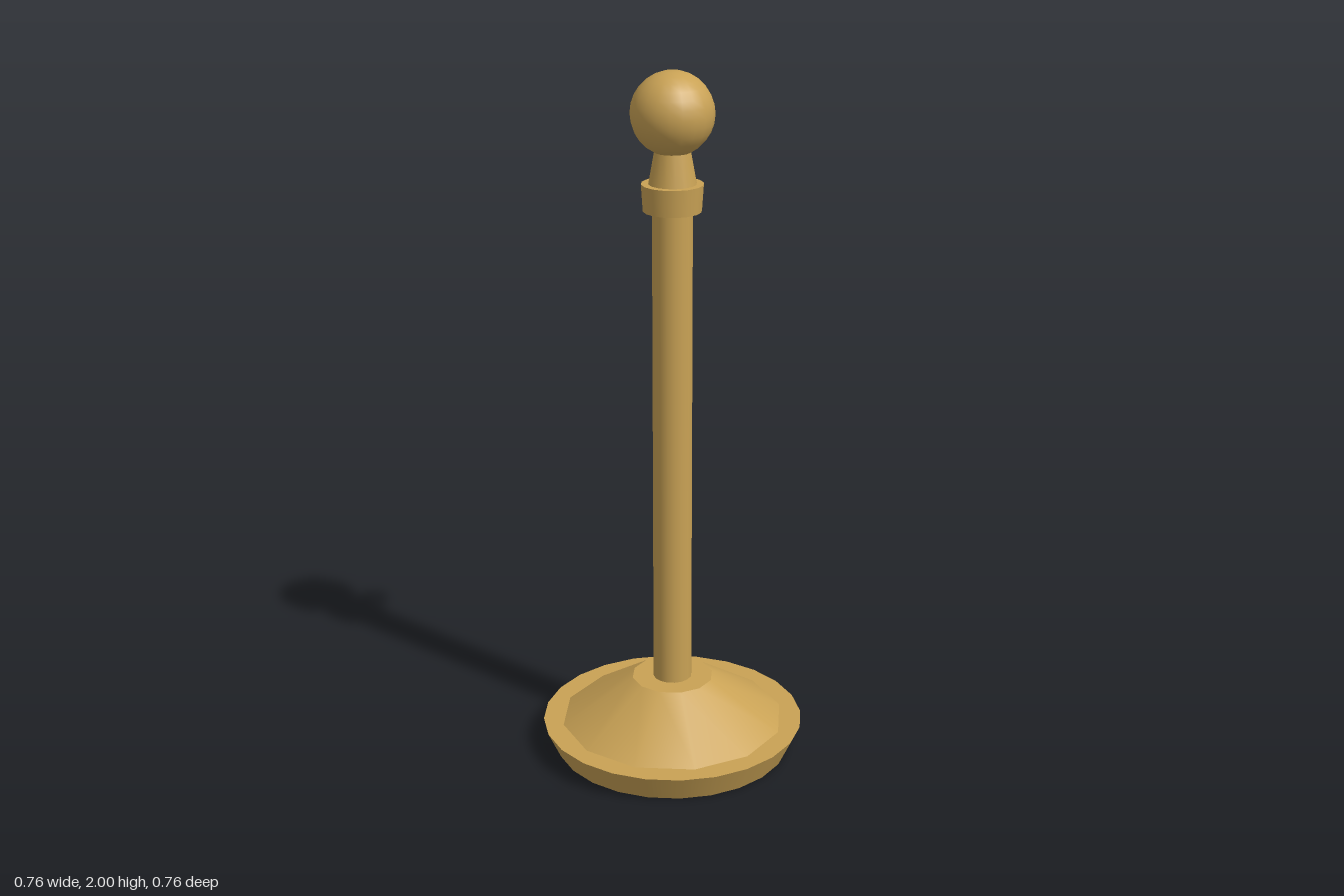
import * as THREE from 'three';
import { mergeGeometries } from 'three/addons/utils/BufferGeometryUtils.js';

// Revolve a profile [radius, height], keeping a sharp edge at every profile point
function turned(profile, sides) {
  const bands = [];
  for (let i = 0; i < profile.length - 1; i++) {
    const pair = [profile[i], profile[i + 1]].map(([r, y]) => new THREE.Vector2(r, y));
    bands.push(new THREE.LatheGeometry(pair, sides, Math.PI / sides));
  }
  return mergeGeometries(bands);
}

export function createModel() {
  const group = new THREE.Group();
  const brass = new THREE.MeshStandardMaterial({ color: 0xc9a255 });
  brass.name = 'brass';

  const add = (name, geometry, parent = group) => {
    const mesh = new THREE.Mesh(geometry, brass);
    mesh.name = name;
    parent.add(mesh);
    return mesh;
  };

  // Flared foot with a raised cone in the middle
  add('baseRim', turned([[0, 0], [0.345, 0], [0.382, 0.08], [0.3, 0.08]], 24));
  add('baseCone', turned([[0.33, 0.078], [0.119, 0.215], [0, 0.215]], 12));

  // Upright
  add('pole', turned([[0.056, 0.2], [0.056, 1.64]], 16));

  // Collar, tapering neck and ball on top
  add('collar', turned([[0.04, 1.62], [0.081, 1.62], [0.086, 1.695], [0.05, 1.695]], 16));
  add('neck', turned([[0.067, 1.69], [0.047, 1.8]], 16));
  add('ball', new THREE.SphereGeometry(0.115, 20, 14)).position.y = 1.886;

  // Rope hook at the back, bent in straight runs
  const hook = new THREE.Group();
  hook.name = 'ropeHook';
  group.add(hook);
  const points = [[1.618, -0.045], [1.637, -0.137], [1.579, -0.164], [1.544, -0.135]]
    .map(([y, z]) => new THREE.Vector3(0, y, z));
  const radius = 0.018;
  const up = new THREE.Vector3(0, 1, 0);
  for (let i = 0; i < points.length - 1; i++) {
    const run = points[i + 1].clone().sub(points[i]);
    const rod = add('hookRod', new THREE.CylinderGeometry(radius, radius, run.length(), 10), hook);
    rod.position.copy(points[i]).addScaledVector(run, 0.5);
    rod.quaternion.setFromUnitVectors(up, run.normalize());
    if (i > 0) add('hookBend', new THREE.SphereGeometry(radius, 10, 8), hook).position.copy(points[i]);
  }

  return group;
}
